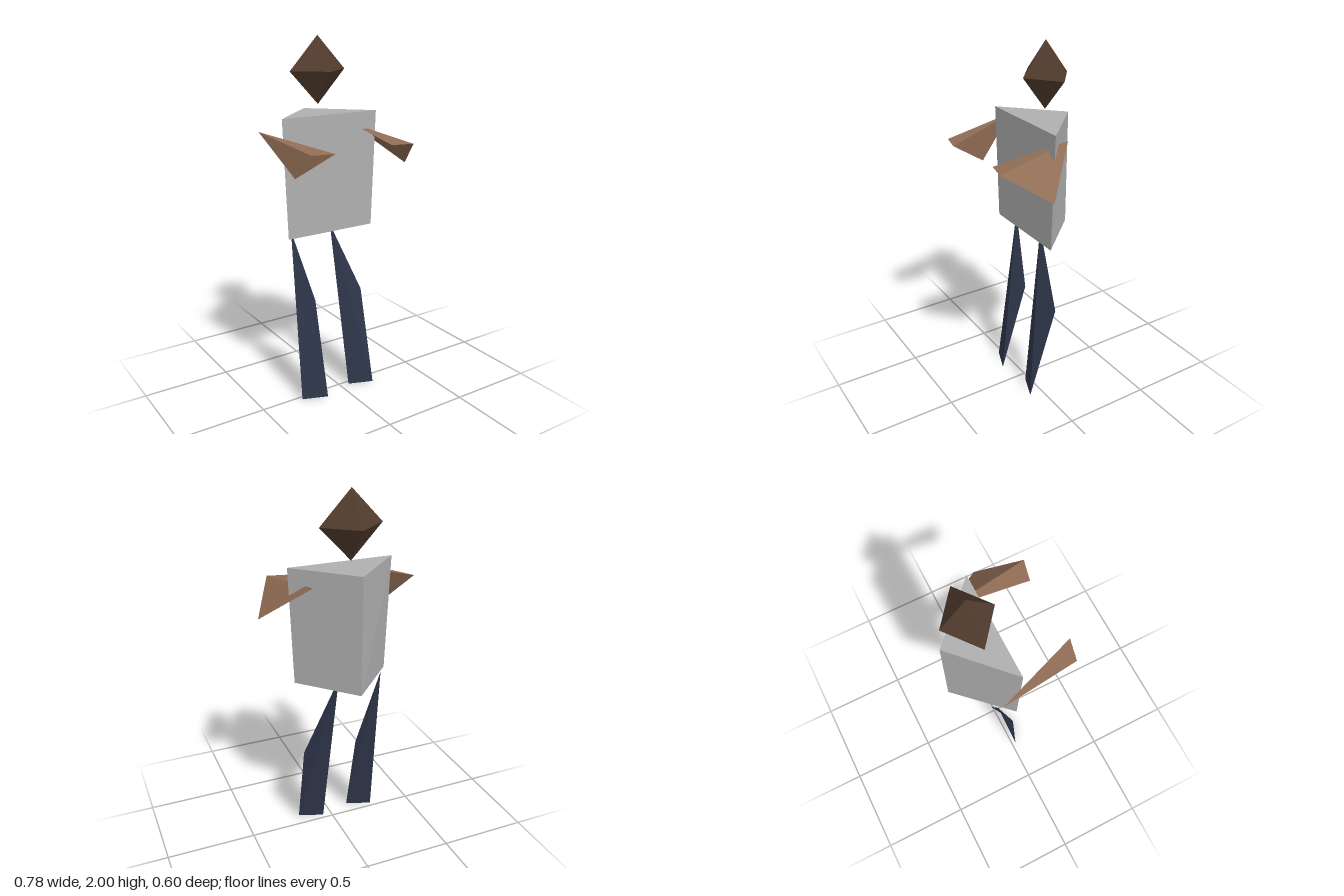
import * as THREE from 'three';

const material = (name, color) =>
  Object.assign(new THREE.MeshStandardMaterial({ color, flatShading: true }), { name });

// Faceted geometry from a few corners and the triangles that join them
function facets(corners, triangles) {
  const geometry = new THREE.BufferGeometry();
  const positions = triangles.flat().flatMap((i) => corners[i]);
  geometry.setAttribute('position', new THREE.Float32BufferAttribute(positions, 3));
  geometry.computeVertexNormals();
  return geometry;
}

export function createModel() {
  const model = new THREE.Group();
  model.name = 'figure';

  const hair = material('darkBrown', 0x523c2e);
  const skin = material('tan', 0x916d55);
  const cloth = material('grey', 0xb0b0b0);
  const denim = material('navy', 0x2e364a);
  skin.side = denim.side = THREE.DoubleSide;

  const add = (name, geometry, mat) => {
    const mesh = new THREE.Mesh(geometry, mat);
    mesh.name = name;
    model.add(mesh);
    return mesh;
  };

  // Head: stretched octahedron floating over the torso
  const head = add('head', new THREE.OctahedronGeometry(1), hair);
  head.scale.set(0.17, 0.18, 0.136);
  head.position.set(-0.036, 1.82, -0.151);

  // Torso: closed triangular prism, slightly narrower at the waist
  const section = (left, right, y) => [[left, y, -0.02], [right, y, -0.02], [-0.036, y, -0.302]];
  add('torso', facets(
    [...section(-0.33, 0.255, 1.6), ...section(-0.305, 0.23, 0.955)],
    [
      [0, 1, 2], [3, 5, 4],             // top, bottom
      [3, 4, 1], [3, 1, 0],             // front
      [4, 5, 2], [4, 2, 1],             // right-hand back
      [5, 3, 0], [5, 0, 2],             // left-hand back
    ]), cloth);

  // Limbs: open panels folded along the line from the root to the inner tip
  // corners: root, outer tip, inner tip, joint
  const limb = (name, mat, ...corners) => add(name, facets(corners, [[0, 1, 2], [0, 2, 3]]), mat);

  limb('rightArm', skin,
    [-0.395, 1.522, -0.155], [-0.335, 1.465, 0.275], [-0.217, 1.465, 0.302], [-0.314, 1.307, 0.075]);
  limb('leftArm', skin,
    [0.172, 1.522, -0.155], [0.145, 1.465, 0.275], [0.263, 1.465, 0.302], [0.39, 1.31, 0.075]);
  limb('rightLeg', denim,
    [-0.245, 0.97, -0.102], [-0.264, 0, 0.025], [-0.125, 0, 0.078], [-0.11, 0.54, -0.077]);
  limb('leftLeg', denim,
    [0.006, 0.97, -0.102], [0.052, 0, 0.025], [0.19, 0, 0.078], [0.205, 0.54, -0.077]);

  return model;
}
